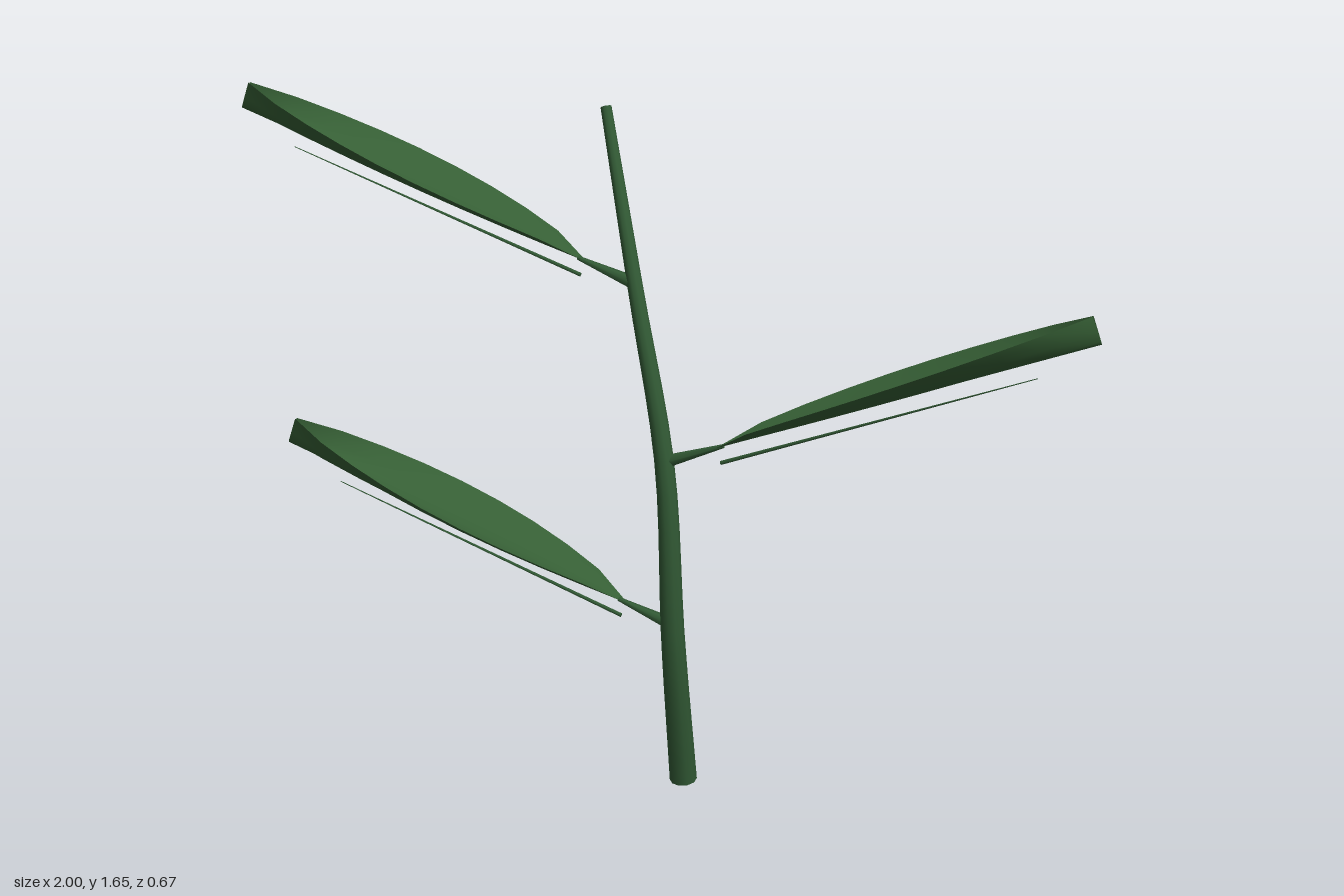
import * as THREE from 'three';

const leafGreen = new THREE.MeshStandardMaterial({ color: 0x365f35, side: THREE.DoubleSide });
leafGreen.name = 'leafGreen';
const stemGreen = new THREE.MeshStandardMaterial({ color: 0x325a35 });
stemGreen.name = 'stemGreen';

function named(geometry, material, name) {
  const mesh = new THREE.Mesh(geometry, material);
  mesh.name = name;
  return mesh;
}

// Curved stem: a tube whose rings shrink towards the top, with flat end caps
function createStem() {
  const stem = new THREE.Group();
  stem.name = 'stem';
  const curve = new THREE.CatmullRomCurve3([
    [0.04, 0.005, -0.078], [0.067, 0.4, -0.002], [0.053, 0.82, 0.013],
    [-0.045, 1.21, -0.004], [-0.195, 1.62, -0.077],
  ].map((p) => new THREE.Vector3(...p)));
  const rows = 20, sides = 10, r0 = 0.033, r1 = 0.013;
  const tube = new THREE.TubeGeometry(curve, rows, r0, sides);
  const pos = tube.attributes.position, v = new THREE.Vector3();
  for (let i = 0; i < pos.count; i++) {
    const t = Math.floor(i / (sides + 1)) / rows;
    const centre = curve.getPointAt(t);
    v.fromBufferAttribute(pos, i).sub(centre);
    v.multiplyScalar(1 + (r1 / r0 - 1) * t).add(centre);
    pos.setXYZ(i, v.x, v.y, v.z);
  }
  stem.add(named(tube, stemGreen, 'stalk'));
  for (const [t, r, dir] of [[0, r0, -1], [1, r1, 1]]) {
    const cap = named(new THREE.CircleGeometry(r, sides), stemGreen, 'stalkEnd');
    cap.position.copy(curve.getPointAt(t));
    cap.lookAt(cap.position.clone().addScaledVector(curve.getTangentAt(t), dir));
    stem.add(cap);
  }
  return stem;
}

// Cupped blade along +x: narrow at both ends, edges lifted more towards the tip
function bladeGeometry(length) {
  const geo = new THREE.PlaneGeometry(1, 1, 9, 6).rotateX(-Math.PI / 2);
  const pos = geo.attributes.position;
  for (let i = 0; i < pos.count; i++) {
    const t = THREE.MathUtils.clamp(pos.getX(i) + 0.5, 0, 1);
    const s = pos.getZ(i) * 2;
    const half = 0.004 + 0.121 * Math.pow(Math.max(0, Math.sin(Math.PI * t)), 0.75);
    pos.setXYZ(i, t * length, 0.065 * Math.sqrt(t) * s * s, s * half);
  }
  geo.computeVertexNormals();
  return geo;
}

// Tapered rod along x
function rod(x0, x1, r0, r1, sides) {
  return new THREE.CylinderGeometry(r1, r0, x1 - x0, sides)
    .rotateZ(-Math.PI / 2).translate((x0 + x1) / 2, 0, 0);
}

function createLeaf(x, y, z, yaw) {
  const leaf = new THREE.Group();
  leaf.name = 'leaf';
  leaf.add(named(bladeGeometry(0.935), leafGreen, 'blade'));
  leaf.add(named(rod(-0.14, 0.02, 0.017, 0.005, 6), stemGreen, 'petiole'));
  // Thin vein just below the blade
  const vein = named(rod(0, 0.776, 0.005, 0.001, 5), stemGreen, 'vein');
  vein.position.y = -0.036;
  leaf.add(vein);
  leaf.position.set(x, y, z);
  leaf.rotation.set(0, yaw, 0.343, 'YXZ');
  return leaf;
}

export function createModel() {
  const model = new THREE.Group();
  model.name = 'plantSprig';
  model.add(createStem());
  // Alternating leaves up the stem
  const yaw = 0.336;
  model.add(createLeaf(-0.05, 0.465, 0.03, Math.PI + yaw));
  model.add(createLeaf(0.17, 0.87, -0.03, yaw));
  model.add(createLeaf(-0.17, 1.275, 0.03, Math.PI + yaw));
  return model;
}
